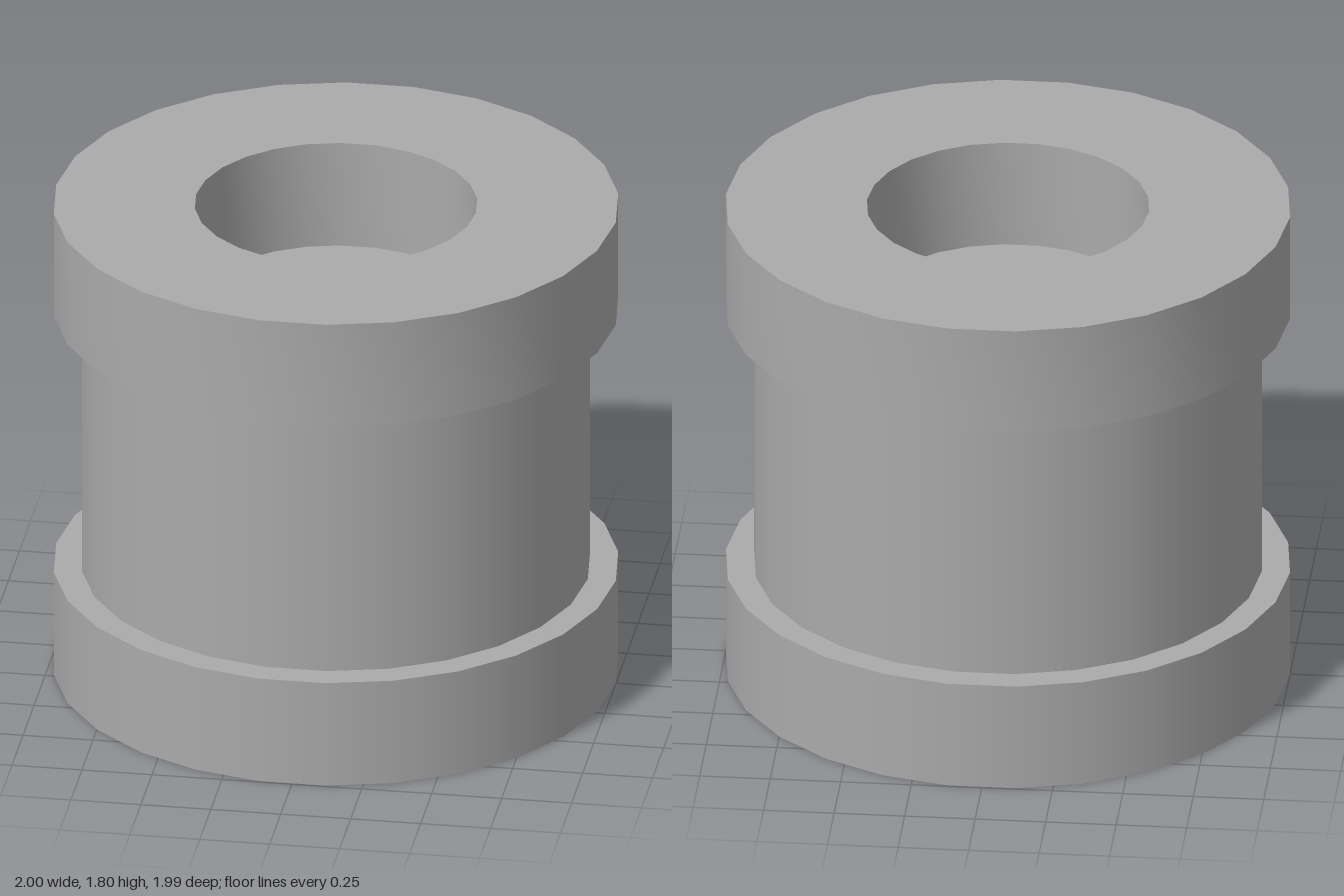
import * as THREE from 'three';
import { toCreasedNormals } from 'three/addons/utils/BufferGeometryUtils.js';

const SIDES = 26;
const START = Math.PI / 2; // puts a corner on the x axis

export function createModel() {
  const group = new THREE.Group();
  const grey = new THREE.MeshStandardMaterial({ color: 0xaaaaaa });
  grey.name = 'grey';

  const add = (name, geometry, y) => {
    const mesh = new THREE.Mesh(geometry, grey);
    mesh.name = name;
    mesh.position.y = y;
    group.add(mesh);
  };
  const drum = (radius, height) =>
    new THREE.CylinderGeometry(radius, radius, height, SIDES, 1, false, START);

  // Solid base flange and narrower body; the body's top is the floor of the recess
  add('baseFlange', drum(1, 0.4), 0.2);
  add('body', drum(0.9, 1), 0.9);

  // Top collar with a round opening
  const profile = [[0.5, 0], [1, 0], [1, 0.4], [0.5, 0.4], [0.5, 0]]
    .map(([r, y]) => new THREE.Vector2(r, y));
  const collar = new THREE.LatheGeometry(profile, SIDES, START);
  add('topCollar', toCreasedNormals(collar, Math.PI / 6), 1.4);

  return group;
}
